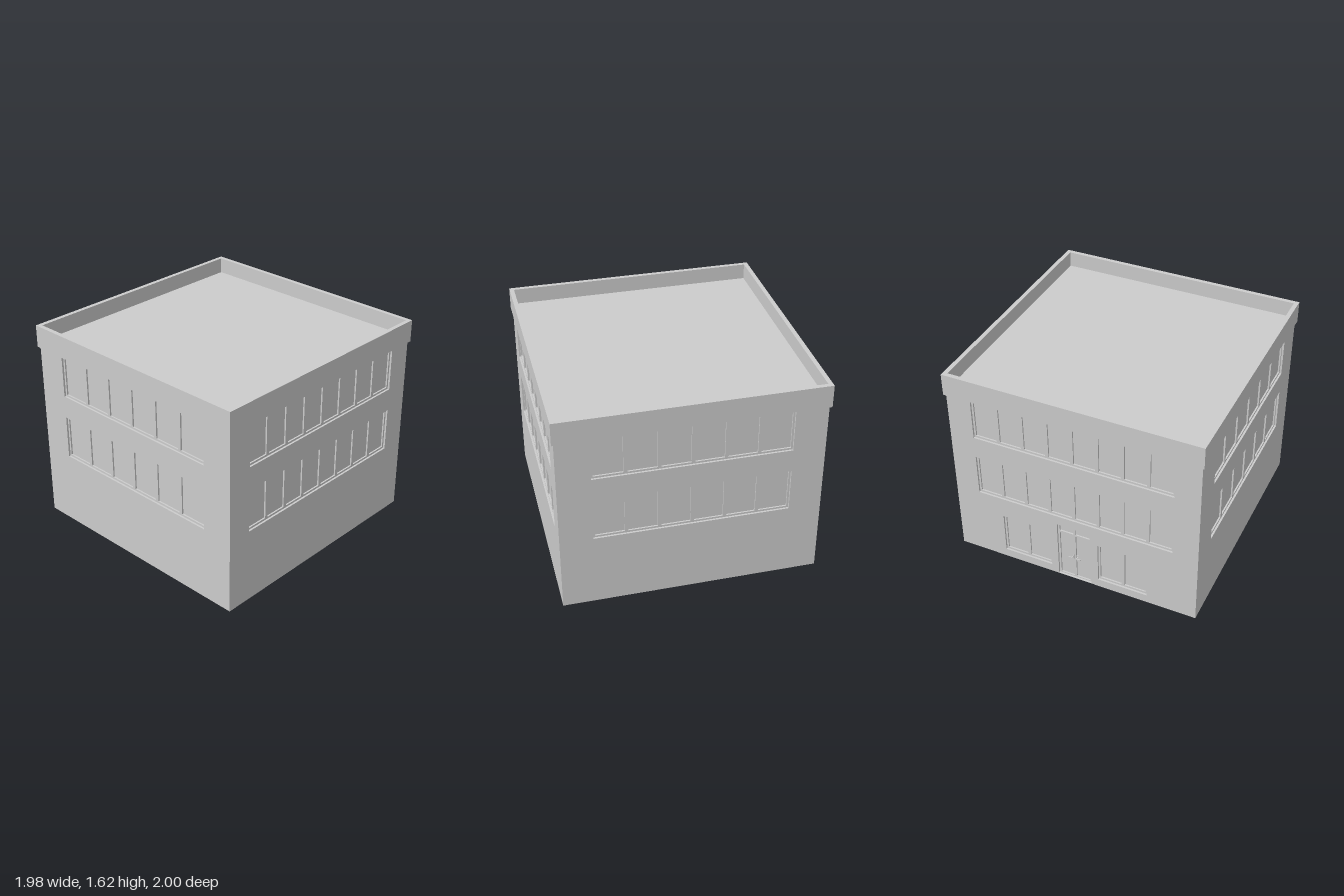
import * as THREE from 'three';

const material = new THREE.MeshStandardMaterial({ color: 0xcccccc, side: THREE.DoubleSide });

function mesh(name, geometry, x = 0, y = 0, z = 0) {
  const m = new THREE.Mesh(geometry, material);
  m.name = name;
  m.position.set(x, y, z);
  return m;
}

// Rectangle outline given by its edges
function rect(Type, x0, y0, x1, y1) {
  return new Type([[x0, y0], [x1, y0], [x1, y1], [x0, y1]].map(([x, y]) => new THREE.Vector2(x, y)));
}

// Flat panel with rectangular holes
function panel(outer, holes, depth) {
  const shape = rect(THREE.Shape, ...outer);
  for (const h of holes) shape.holes.push(rect(THREE.Path, ...h));
  return new THREE.ExtrudeGeometry(shape, { depth, bevelEnabled: false });
}

// Frame sunk into an opening, with glass behind it
function framed(name, opening, panes) {
  const [x0, y0, x1, y1] = opening;
  const group = new THREE.Group();
  group.name = name;
  group.add(mesh('frame', panel(opening, panes, 0.018), 0, 0, -0.033));
  group.add(mesh('glass', new THREE.PlaneGeometry(x1 - x0, y1 - y0), (x0 + x1) / 2, (y0 + y1) / 2, -0.027));
  return group;
}

// Row of equal panes in one opening
function windowRow(x0, y0, x1, y1, count) {
  const border = 0.015, gap = 0.026;
  const w = (x1 - x0 - 2 * border - (count - 1) * gap) / count;
  const panes = [];
  for (let i = 0; i < count; i++) {
    const x = x0 + border + i * (w + gap);
    panes.push([x, y0 + border, x + w, y1 - border]);
  }
  return framed('windowRow', [x0, y0, x1, y1], panes);
}

// Double door with transom lights and lever handles on both faces
function entrance(opening) {
  const panes = [];
  for (const s of [-1, 1]) {
    const a = s * 0.008, b = s * 0.122;
    const x0 = Math.min(a, b), x1 = Math.max(a, b);
    panes.push([x0, 0.012, x1, 0.42], [x0, 0.437, x1, 0.49]);
  }
  const door = framed('entranceDoor', opening, panes);
  for (const s of [-1, 1]) {
    for (const z of [0.001, -0.05]) {
      door.add(mesh('doorHandle', new THREE.BoxGeometry(0.035, 0.008, 0.006), s * 0.032, 0.21, z));
      door.add(mesh('handlePlate', new THREE.BoxGeometry(0.01, 0.04, 0.004), s * 0.018, 0.205, -0.025 + Math.sign(z) * 0.004));
      door.add(mesh('handleStem', new THREE.BoxGeometry(0.007, 0.007, 0.03), s * 0.018, 0.21, (z - 0.027) / 2));
    }
  }
  return door;
}

// One facade: wall sheet, two long window rows, optional ground floor
function facade(name, width, rowHalf, count, hasDoor) {
  const group = new THREE.Group();
  group.name = name;
  const holes = [];
  for (const [y0, y1] of [[0.585, 0.925], [1.105, 1.44]]) {
    holes.push([-rowHalf, y0, rowHalf, y1]);
    group.add(windowRow(-rowHalf, y0, rowHalf, y1, count));
  }
  if (hasDoor) {
    for (const [x0, x1] of [[-0.595, -0.195], [0.195, 0.595]]) {
      holes.push([x0, 0.07, x1, 0.415]);
      group.add(windowRow(x0, 0.07, x1, 0.415, 2));
    }
    const opening = [-0.137, 0.003, 0.137, 0.505];
    holes.push(opening);
    group.add(entrance(opening));
  }
  group.add(mesh('wall', panel([-width / 2, 0, width / 2, 1.46], holes, 0.02), 0, 0, -0.02));
  return group;
}

export function createModel() {
  const model = new THREE.Group();
  model.name = 'building';

  // Four facades, each turned to its side
  const sides = [
    ['frontFacade', 1.95, 0.73, 6, false, 0, 0.985],
    ['leftFacade', 1.93, 0.79, 8, false, Math.PI / 2, 0.975],
    ['backFacade', 1.95, 0.73, 6, false, Math.PI, 0.985],
    ['rightFacade', 1.93, 0.79, 8, true, -Math.PI / 2, 0.975],
  ];
  for (const [name, width, half, count, door, angle, offset] of sides) {
    const f = facade(name, width, half, count, door);
    f.rotation.y = angle;
    f.position.set(Math.sin(angle) * offset, 0, Math.cos(angle) * offset);
    model.add(f);
  }

  // Overhanging parapet band around the roof
  const parapet = mesh('parapet', panel([-0.99, -1, 0.99, 1], [[-0.956, -0.966, 0.956, 0.966]], 0.175), 0, 1.44, 0);
  parapet.rotation.x = -Math.PI / 2;
  model.add(parapet);

  // Sunken flat roof
  model.add(mesh('roof', new THREE.BoxGeometry(1.914, 0.05, 1.934), 0, 1.466, 0));
  return model;
}
